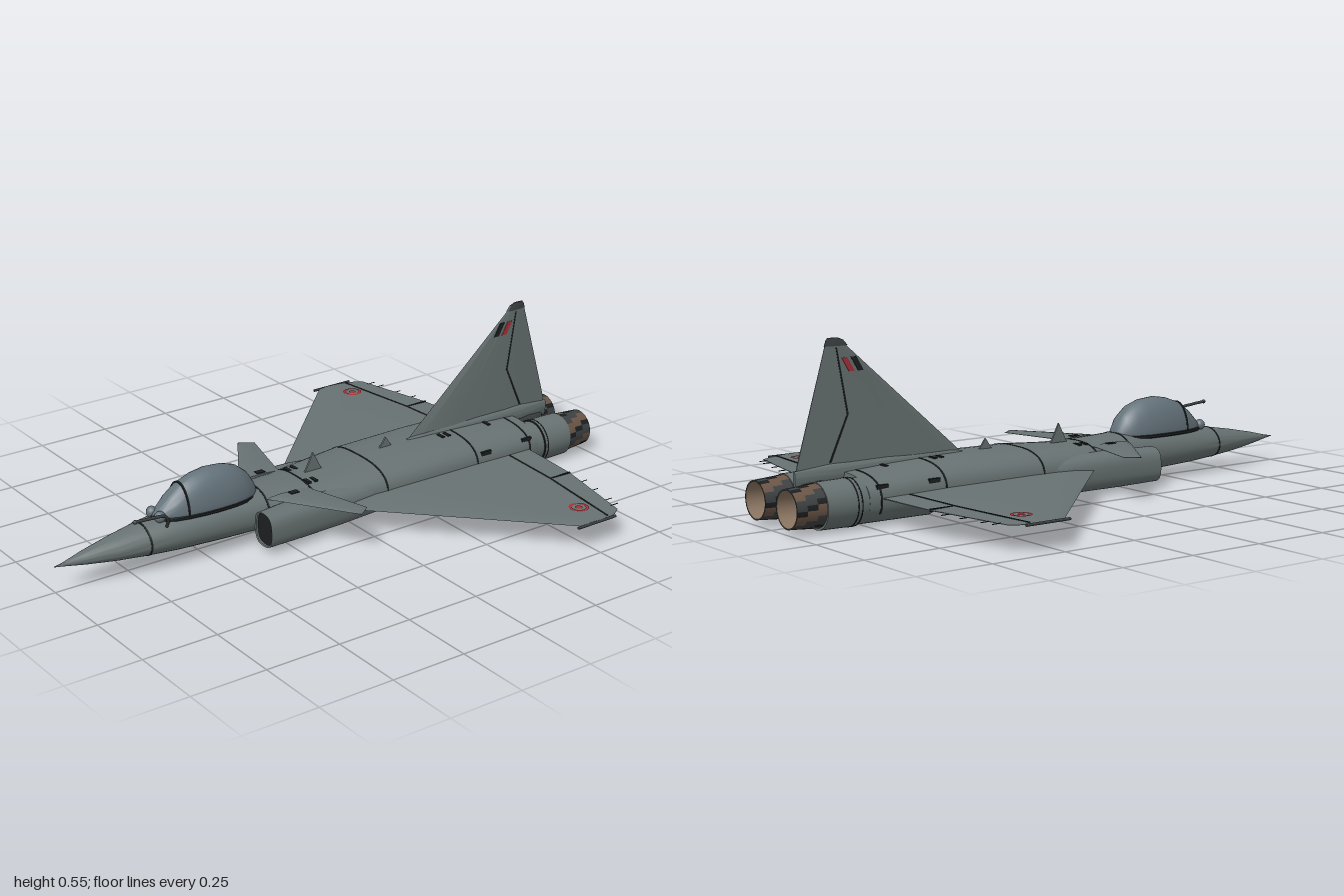
import * as THREE from 'three';
import { toCreasedNormals } from 'three/addons/utils/BufferGeometryUtils.js';

const paint = (name, color, side = THREE.FrontSide) => {
  const m = new THREE.MeshStandardMaterial({ color, side });
  m.name = name;
  return m;
};

// Skin through closed rings of [x, y, z]; sx = -1 builds the mirrored part
function loft(rings, sx = 1, caps = true, crease = 0.6) {
  const n = rings[0].length, pos = [], idx = [];
  const tri = (a, b, c) => (sx > 0 ? idx.push(a, b, c) : idx.push(a, c, b));
  rings.forEach(r => r.forEach(([x, y, z]) => pos.push(x * sx, y, z)));
  for (let i = 0; i < rings.length - 1; i++) for (let j = 0; j < n; j++) {
    const k = (j + 1) % n, a = i * n + j, b = a + n, c = (i + 1) * n + k, d = i * n + k;
    tri(a, b, c); tri(a, c, d);
  }
  if (caps) [0, rings.length - 1].forEach((r, end) => {
    const mid = [0, 1, 2].map(q => rings[r].reduce((s, p) => s + p[q], 0) / n);
    const m = pos.length / 3;
    pos.push(mid[0] * sx, mid[1], mid[2]);
    for (let j = 0; j < n; j++) {
      const a = r * n + j, b = r * n + (j + 1) % n;
      end ? tri(m, b, a) : tri(m, a, b);
    }
  });
  const g = new THREE.BufferGeometry();
  g.setAttribute('position', new THREE.Float32BufferAttribute(pos, 3));
  g.setIndex(idx);
  return toCreasedNormals(g, crease);
}

// Rounded ring across the length: [z, halfWidth, top, bottom, widestY, exponent, centreX]
function ring([z, w, top, bot, cy = (top + bot) / 2, e = 2, cx = 0], grow = 0, n = 36) {
  const f = v => Math.sign(v) * Math.abs(v) ** (2 / e);
  return Array.from({ length: n }, (_, j) => {
    const a = (j / n) * Math.PI * 2, s = f(Math.sin(a));
    return [cx + (w + grow) * f(Math.cos(a)), cy + s * ((s > 0 ? top - cy : cy - bot) + grow), z];
  });
}

// Lifting surface from span stations [x, zLeading, zTrailing, y, halfThickness]
const FOIL = [[0, 0], [0.08, 0.7], [0.3, 1], [0.7, 0.8], [1, 0.15]];
const FLAT = [[0, 0], [0.02, 1], [1, 1]];
function panel(stations, sx = 1, profile = FOIL) {
  return loft(stations.map(([x, le, te, y, h]) => {
    const up = profile.map(([f, t]) => [x, y + t * h, le + (te - le) * f]);
    const low = profile.slice(1).reverse().map(([f, t]) => [x, y - t * h, le + (te - le) * f]);
    return [...up, ...low];
  }), sx, true, 0.5);
}

const BODY = [
  [1, 0.001, 0.086, 0.084, 0.085, 2], [0.97, 0.006, 0.091, 0.079, 0.085, 2],
  [0.9, 0.026, 0.108, 0.067, 0.086, 2], [0.8, 0.049, 0.128, 0.053, 0.087, 2],
  [0.7, 0.067, 0.145, 0.043, 0.09, 2], [0.6, 0.079, 0.156, 0.036, 0.092, 2.1],
  [0.45, 0.087, 0.163, 0.03, 0.092, 2.2], [0.3, 0.092, 0.165, 0.026, 0.09, 2.3],
  [0.18, 0.115, 0.157, 0.02, 0.085, 2.5], [0.05, 0.148, 0.153, 0.016, 0.08, 2.6],
  [-0.12, 0.164, 0.163, 0.012, 0.078, 2.7], [-0.4, 0.166, 0.166, 0.01, 0.077, 2.7],
  [-0.6, 0.165, 0.16, 0.009, 0.076, 2.7], [-0.76, 0.16, 0.15, 0.008, 0.075, 2.7],
];
function bodyAt(z) {
  const i = Math.max(1, BODY.findIndex(s => s[0] <= z)), a = BODY[i - 1], b = BODY[i];
  const t = (z - a[0]) / (b[0] - a[0]);
  return a.map((v, k) => v + (b[k] - v) * t);
}

export function createModel() {
  const skin = paint('grey skin', 0x687272);
  const glass = paint('canopy grey', 0x64727a);
  const dark = paint('panel line black', 0x1c1f20, THREE.DoubleSide);
  const steel = paint('dark steel', 0x3d4142);
  const brown = paint('burnt brown', 0x6b5546);
  const tan = paint('nozzle liner', 0x8a7460, THREE.DoubleSide);
  const red = paint('marking red', 0xa83238);

  const model = new THREE.Group();
  const add = (name, geo, mat, x = 0, y = 0, z = 0) => {
    const m = new THREE.Mesh(geo, mat);
    m.name = name;
    m.position.set(x, y, z);
    model.add(m);
    return m;
  };
  const tubeZ = (rFront, rBack, len, open = false, from = 0, arc = Math.PI * 2, seg = 32) =>
    new THREE.CylinderGeometry(rFront, rBack, len, seg, 1, open, from, arc).rotateX(Math.PI / 2);

  // Fuselage with panel joints
  add('fuselage', loft(BODY.map(s => ring(s))), skin);
  for (const z of [0.7, 0.29, 0.13, -0.12, -0.49, -0.72]) {
    const s = [z + 0.003, z - 0.003].map(q => ring(bodyAt(q), 0.0012));
    add('panelJoint', loft(s), dark);
  }

  // Canopy, its bow frame and sill
  const CANOPY = [[0.655, 0.012, 0.16], [0.63, 0.035, 0.185], [0.6, 0.049, 0.215], [0.56, 0.06, 0.244],
    [0.51, 0.067, 0.262], [0.46, 0.07, 0.27], [0.4, 0.069, 0.265], [0.355, 0.062, 0.25],
    [0.32, 0.05, 0.222], [0.3, 0.035, 0.19], [0.287, 0.012, 0.16]];
  add('canopy', loft(CANOPY.map(([z, w, t]) => ring([z, w, t, 0.13, 0.15]))), glass);
  add('canopySill', loft(CANOPY.map(([z, w]) => ring([z, w + 0.004, 0.157, 0.14, 0.15, 4]))), dark);
  add('canopyBow', loft([0.563, 0.557].map(z => ring([z, 0.062, 0.247, 0.13, 0.15]))), dark);
  for (const s of [-1, 1])
    add('sensorDome', new THREE.SphereGeometry(0.018, 16, 12), glass, s * 0.024, 0.16, 0.645);

  // Refuelling probe on the left of the nose
  const path = new THREE.CatmullRomCurve3([[0.055, 0.14, 0.64], [0.08, 0.17, 0.65], [0.1, 0.2, 0.675],
    [0.104, 0.207, 0.72], [0.107, 0.212, 0.78]].map(p => new THREE.Vector3(...p)));
  add('refuellingProbe', new THREE.TubeGeometry(path, 24, 0.005, 10), steel);
  add('probeTip', new THREE.SphereGeometry(0.007, 12, 8), steel, 0.107, 0.212, 0.78);

  // Blade aerials along the spine
  for (const [z, h, w] of [[0.06, 0.062, 0.032], [-0.23, 0.042, 0.03]]) {
    const tri = new THREE.Shape([new THREE.Vector2(-w, 0), new THREE.Vector2(w, 0), new THREE.Vector2(0, h)]);
    add('bladeAerial', new THREE.ExtrudeGeometry(tri, { depth: 0.006, bevelEnabled: false })
      .translate(0, 0, -0.003).rotateY(Math.PI / 2), skin, 0, 0.155, z);
  }

  const WING = [[0.13, 0.11, -0.717, 0.085, 0.01], [0.165, 0.075, -0.715, 0.085, 0.01],
    [0.38, -0.142, -0.7, 0.083, 0.0077], [0.67, -0.435, -0.64, 0.08, 0.0045],
    [0.69, -0.455, -0.61, 0.08, 0.0042], [0.7, -0.465, -0.58, 0.08, 0.004]];
  for (const s of [-1, 1]) {
    // Intake: inner lip, outer lip, then the duct fairing into the body
    const duct = (z, out, inn, top, bot, g = 0) =>
      ring([z, (out - inn) / 2 - g, top - g, bot + g, 0.072, 2.8, (out + inn) / 2]);
    add('intake', loft([duct(0.27, 0.18, 0.088, 0.13, 0.018, 0.007), duct(0.34, 0.18, 0.088, 0.13, 0.018, 0.005),
      duct(0.342, 0.18, 0.088, 0.13, 0.018), duct(0.2, 0.176, 0.07, 0.132, 0.014),
      duct(0.05, 0.17, 0.05, 0.132, 0.012), duct(-0.15, 0.155, 0.03, 0.12, 0.012)], s, false), skin);
    add('intakeThroat', loft([duct(0.335, 0.18, 0.088, 0.13, 0.018, 0.0065),
      duct(0.24, 0.176, 0.088, 0.13, 0.018, 0.012)].reverse(), s), dark).scale.set(1, 1, 1);

    // Delta wing with control-surface gaps and tip rail
    add('wing', panel(WING, s), skin);
    add('hingeGap', panel([[0.165, -0.622, -0.628, 0.085, 0.0053], [0.38, -0.612, -0.618, 0.083, 0.005],
      [0.69, -0.575, -0.581, 0.08, 0.0045]], s, FLAT), dark);
    add('flapGap', panel([[0.377, -0.615, -0.7, 0.083, 0.0045], [0.383, -0.615, -0.7, 0.083, 0.0045]], s, FLAT), dark);
    for (const z of [-0.18, -0.32, -0.46]) {
      const end = 0.165 + (0.06 - z) * 0.93;
      add('undersideSeam', panel([[0.165, z - 0.03, z - 0.034, 0.0765, 0.0025],
        [end, z, z - 0.004, 0.08 - 0.0005 * (0.7 - end), 0.0045]], s, FLAT).translate(0, -0.001, 0), dark);
    }
    add('tipRail', tubeZ(0.0045, 0.0045, 0.155, false, 0, Math.PI * 2, 10), steel, s * 0.703, 0.08, -0.523);
    for (const [x, z] of [[0.45, -0.69], [0.52, -0.675], [0.6, -0.66], [0.64, -0.65]])
      add('staticWick', tubeZ(0.0015, 0.0015, 0.03, false, 0, Math.PI * 2, 6), dark, s * x, 0.081, z - 0.005);

    // Wing roundels
    const flat = g => g.rotateX(-Math.PI / 2);
    add('roundelRing', flat(new THREE.RingGeometry(0.022, 0.032, 32)), red, s * 0.6, 0.0875, -0.54);
    add('roundelDot', flat(new THREE.CircleGeometry(0.012, 20)), red, s * 0.6, 0.0875, -0.54);

    // Canards
    add('canard', panel([[0.08, 0.29, 0.135, 0.143, 0.007], [0.11, 0.272, 0.13, 0.144, 0.006],
      [0.31, 0.142, 0.075, 0.145, 0.003], [0.34, 0.122, 0.115, 0.145, 0.0015]], s), skin);

    // Engine housing, rear band and petalled nozzle
    const ex = s * 0.09, ey = 0.074;
    add('engineHousing', tubeZ(0.07, 0.069, 0.28), skin, ex, ey, -0.66);
    add('engineBand', tubeZ(0.073, 0.071, 0.115), skin, ex, ey, -0.845);
    for (const z of [-0.787, -0.8])
      add('bandJoint', tubeZ(0.0738, 0.0738, 0.004), dark, ex, ey, z);
    const arc = Math.PI * 2 / 24, mix = [steel, brown, dark, steel, brown];
    for (let row = 0; row < 3; row++) for (let i = 0; i < 24; i++)
      add('nozzlePetal', tubeZ(0.067 - row * 0.0025, 0.0645 - row * 0.0025, 0.034, true, i * arc, arc, 1),
        mix[(i * 2 + row * 3) % 5], ex, ey + 0.002, -0.915 - row * 0.034);
    add('nozzleLiner', tubeZ(0.05, 0.0565, 0.08, true), tan, ex, ey + 0.002, -0.96);
    add('nozzleRim', new THREE.RingGeometry(0.056, 0.06, 32).rotateY(Math.PI), steel, ex, ey + 0.002, -1);
    add('afterburner', new THREE.CircleGeometry(0.052, 32).rotateY(Math.PI), tan, ex, ey + 0.002, -0.925);

    // Dark vents on the back and flanks
    for (const [x, z] of [[0.055, 0.12], [0.055, 0.095], [0.04, -0.43], [0.04, -0.455], [0.035, -0.63]]) {
      const [, w, top, , cy, e] = bodyAt(z);
      add('backVent', new THREE.BoxGeometry(0.03, 0.008, 0.012), dark, s * x,
        cy + (top - cy) * (1 - (x / w) ** e) ** (1 / e) - 0.001, z);
    }
    for (const z of [-0.53, -0.71]) {
      const [, w, top, , cy, e] = bodyAt(z);
      const x = w * (1 - ((0.118 - cy) / (top - cy)) ** e) ** (1 / e);
      add('sideVent', new THREE.BoxGeometry(0.008, 0.014, 0.04), dark, s * (x - 0.001), 0.118, z);
    }
    add('canardPivot', new THREE.BoxGeometry(0.02, 0.008, 0.03), dark, s * 0.095, 0.148, 0.2);
  }

  // Tail fin, built flat and turned upright
  const upright = (st, profile) => panel(st, 1, profile).rotateZ(Math.PI / 2);
  add('tailFin', upright([[0.15, -0.31, -0.915, 0, 0.013], [0.18, -0.34, -0.91, 0, 0.011],
    [0.525, -0.735, -0.81, 0, 0.004]]), skin);
  add('finCap', upright([[0.525, -0.73, -0.812, 0, 0.006], [0.542, -0.745, -0.806, 0, 0.005],
    [0.55, -0.765, -0.8, 0, 0.003]]), steel);
  add('rudderGap', upright([[0.18, -0.797, -0.803, 0, 0.0092], [0.32, -0.734, -0.74, 0, 0.0082],
    [0.52, -0.769, -0.774, 0, 0.0045]], FLAT), dark);
  [[dark, 0], [red, -0.032]].forEach(([mat, d]) => add('finFlash', upright([
    [0.447, -0.678 + d, -0.698 + d, 0, 0.0065], [0.49, -0.703 + d, -0.723 + d, 0, 0.006]], FLAT), mat));
  add('finFairing', loft([[-0.32, 0.008, 0.168], [-0.38, 0.016, 0.178], [-0.6, 0.021, 0.182],
    [-0.8, 0.02, 0.178], [-0.92, 0.006, 0.165]].map(([z, w, t]) => ring([z, w, t, 0.11, 0.15]))), skin);
  add('tailBeam', loft([[-0.72, 0.03, 0.145, 0.03], [-0.84, 0.025, 0.14, 0.045],
    [-0.9, 0.012, 0.13, 0.07]].map(s => ring(s))), steel);
  return model;
}
